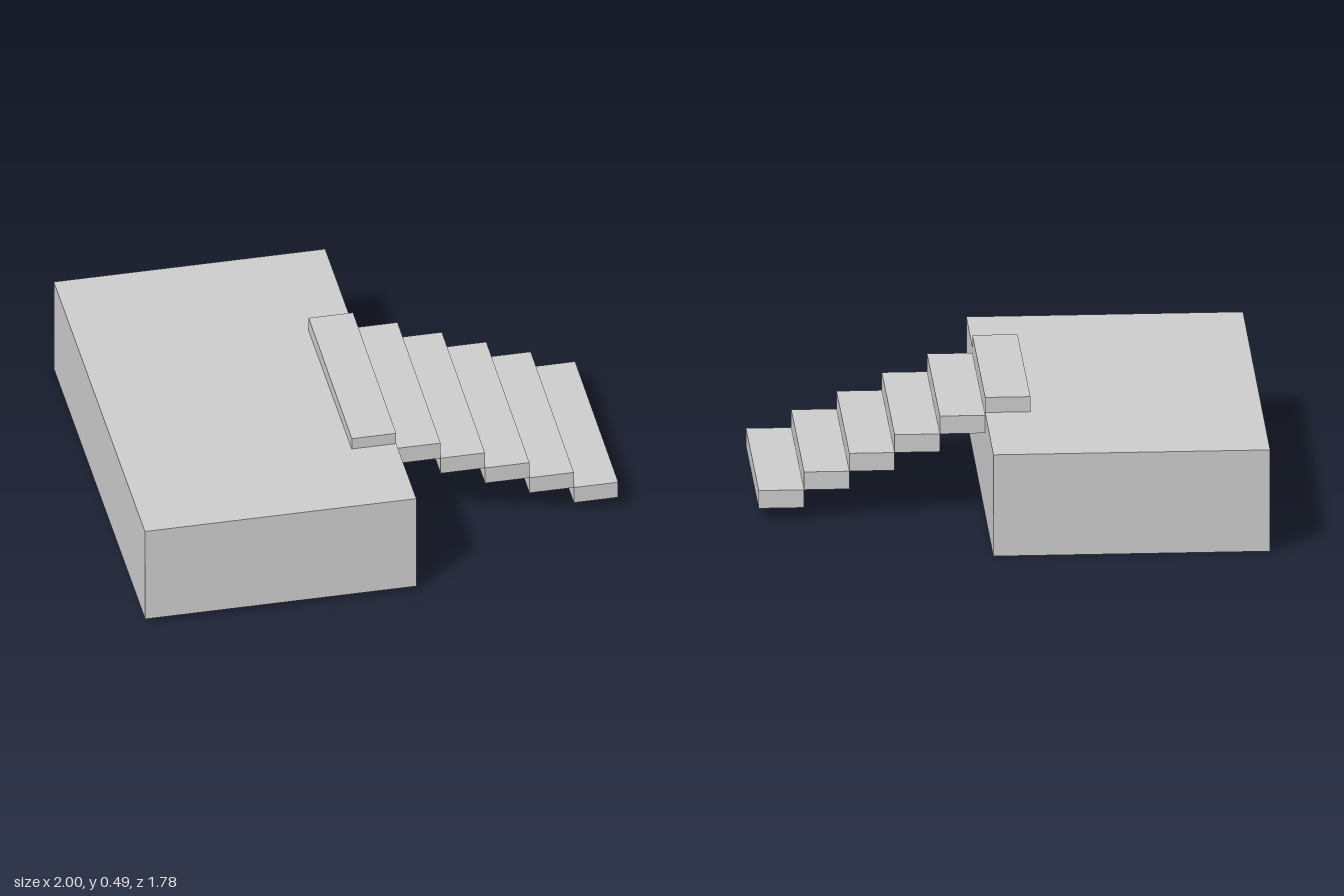
import * as THREE from 'three';

export function createModel() {
  const model = new THREE.Group();
  model.name = 'platformWithSteps';
  const material = new THREE.MeshStandardMaterial({ color: 0xcccccc, flatShading: true });

  function addBox(name, size, position) {
    const mesh = new THREE.Mesh(new THREE.BoxGeometry(...size), material);
    mesh.name = name;
    mesh.position.set(...position);
    model.add(mesh);
    return mesh;
  }

  // Platform block, pitched slightly up toward the front
  const platform = addBox('platform', [1.1, 0.423, 1.775], [-0.45, 0.225, 0]);
  platform.rotation.x = -0.0148;

  // Flight of treads, climbing from the outer end onto the platform
  const count = 6, run = 0.18, rise = 0.074;
  const stairs = new THREE.Group();
  stairs.name = 'stairs';
  for (let i = 0; i < count; i++) {
    stairs.add(addBox(`tread${i + 1}`, [run, rise, 0.84],
      [1 - run * (i + 0.5), 0.05 + rise * (i + 0.5), 0.073]));
  }
  model.add(stairs);

  return model;
}
